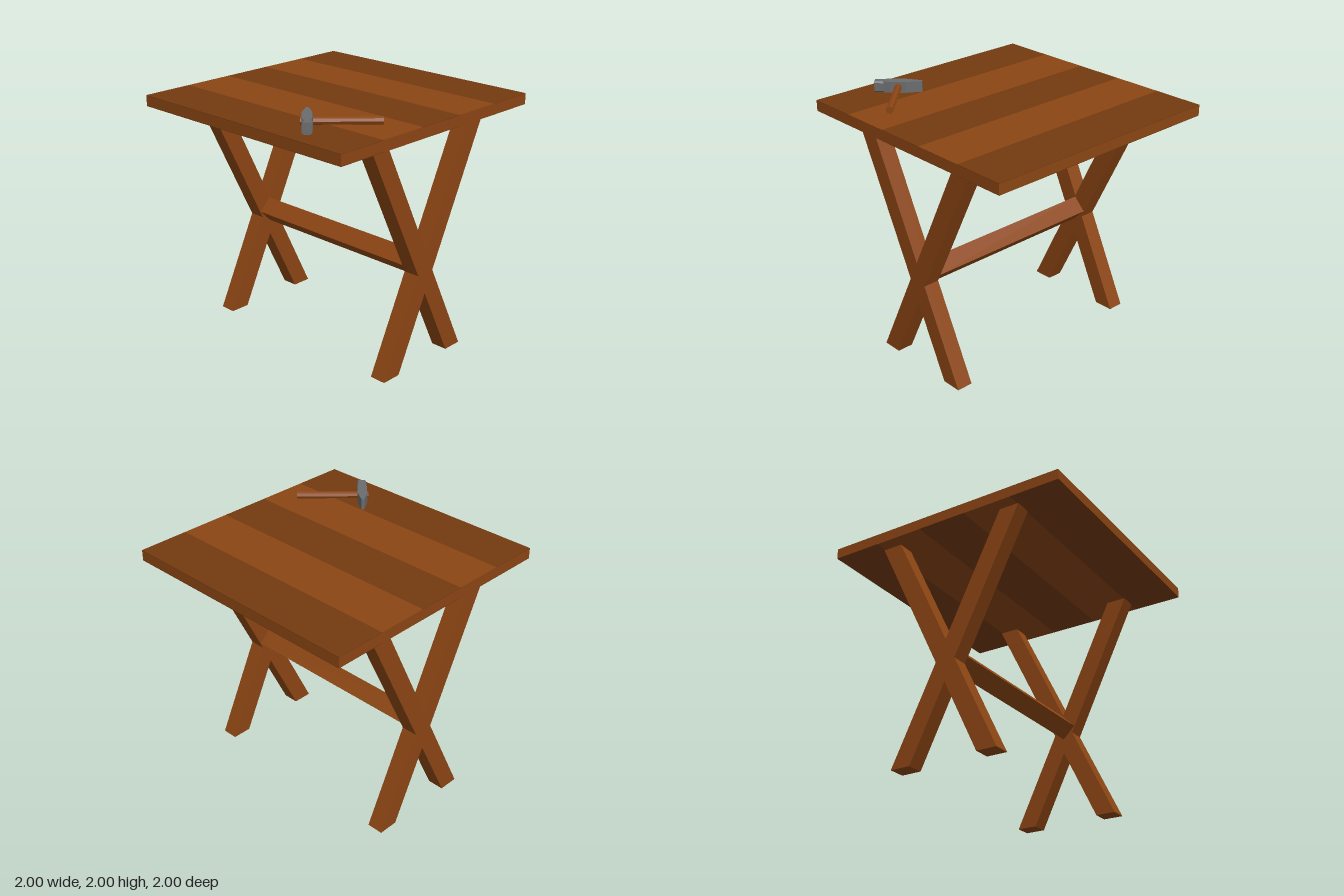
import * as THREE from 'three';

const paint = (color) => new THREE.MeshStandardMaterial({ color, flatShading: true });
const wood = paint(0x8b4513);
const darkWood = paint(0x743a10);
const steel = paint(0x6a6c6e);

function part(name, geometry, material, parent) {
  const mesh = new THREE.Mesh(geometry, material);
  mesh.name = name;
  parent.add(mesh);
  return mesh;
}

// Straight-sided prism from a polygon, centred along its depth
function prism(points, depth) {
  const shape = new THREE.Shape(points.map(([a, b]) => new THREE.Vector2(a, b)));
  return new THREE.ExtrudeGeometry(shape, { depth, bevelEnabled: false }).translate(0, 0, -depth / 2);
}

function createTabletop() {
  const top = new THREE.Group();
  top.name = 'tabletop';
  const low = 1.83, high = 1.915, skin = 0.004;
  part('slab', new THREE.BoxGeometry(2, high - low - 2 * skin, 2), wood, top).position.y = (low + high) / 2;
  // Alternating boards on both faces
  for (let i = 0; i < 5; i++) {
    for (const y of [low + skin / 2, high - skin / 2]) {
      part('plank', new THREE.BoxGeometry(2, skin, 0.4), i % 2 ? wood : darkWood, top)
        .position.set(0, y, -0.8 + 0.4 * i);
    }
  }
  return top;
}

function createLegs() {
  const legs = new THREE.Group();
  legs.name = 'crossedLegs';
  // Slanted leg with ends cut level with floor and tabletop
  for (const x of [-0.835, 0.835]) {
    for (const s of [-1, 1]) {
      const outline = [[0.277 * s, 0], [0.437 * s, 0], [-0.45 * s, 1.83], [-0.61 * s, 1.83]];
      part('leg', prism(outline, 0.13).rotateY(-Math.PI / 2), wood, legs).position.x = x;
    }
  }
  // Square stretcher resting on its edge in the crotch of the legs
  const bar = part('stretcher', new THREE.BoxGeometry(1.6, 0.141, 0.141), wood, legs);
  bar.position.y = 0.79;
  bar.rotation.x = Math.PI / 4;
  return legs;
}

function createHammer() {
  const hammer = new THREE.Group();
  hammer.name = 'hammer';
  // Head tapering to a wedge at one end
  const half = [[-0.18, 0.01], [-0.06, 0.038], [0.06, 0.038], [0.115, 0.029]];
  const outline = [...half.map(([u, v]) => [u, -v]), ...half.reverse()];
  part('head', prism(outline, 0.085).rotateX(-Math.PI / 2), steel, hammer);
  // Striking end with chamfered corners
  const w = 0.036, h = 0.0425, c = 0.012;
  const face = [[c - w, -h], [w - c, -h], [w, c - h], [w, h - c], [w - c, h], [c - w, h], [-w, h - c], [-w, c - h]];
  part('strikingFace', prism(face, 0.07).rotateY(Math.PI / 2), steel, hammer).position.x = 0.145;
  // Octagonal handle passing through the head
  const handle = new THREE.CylinderGeometry(0.029, 0.029, 0.562, 8).rotateX(Math.PI / 2);
  part('handle', handle, wood, hammer).position.z = -0.234;
  hammer.position.set(0.4335, 1.9575, 0.7365);
  hammer.rotation.y = -Math.PI / 4;
  return hammer;
}

export function createModel() {
  const model = new THREE.Group();
  model.name = 'workTable';
  model.add(createTabletop(), createLegs(), createHammer());
  return model;
}
